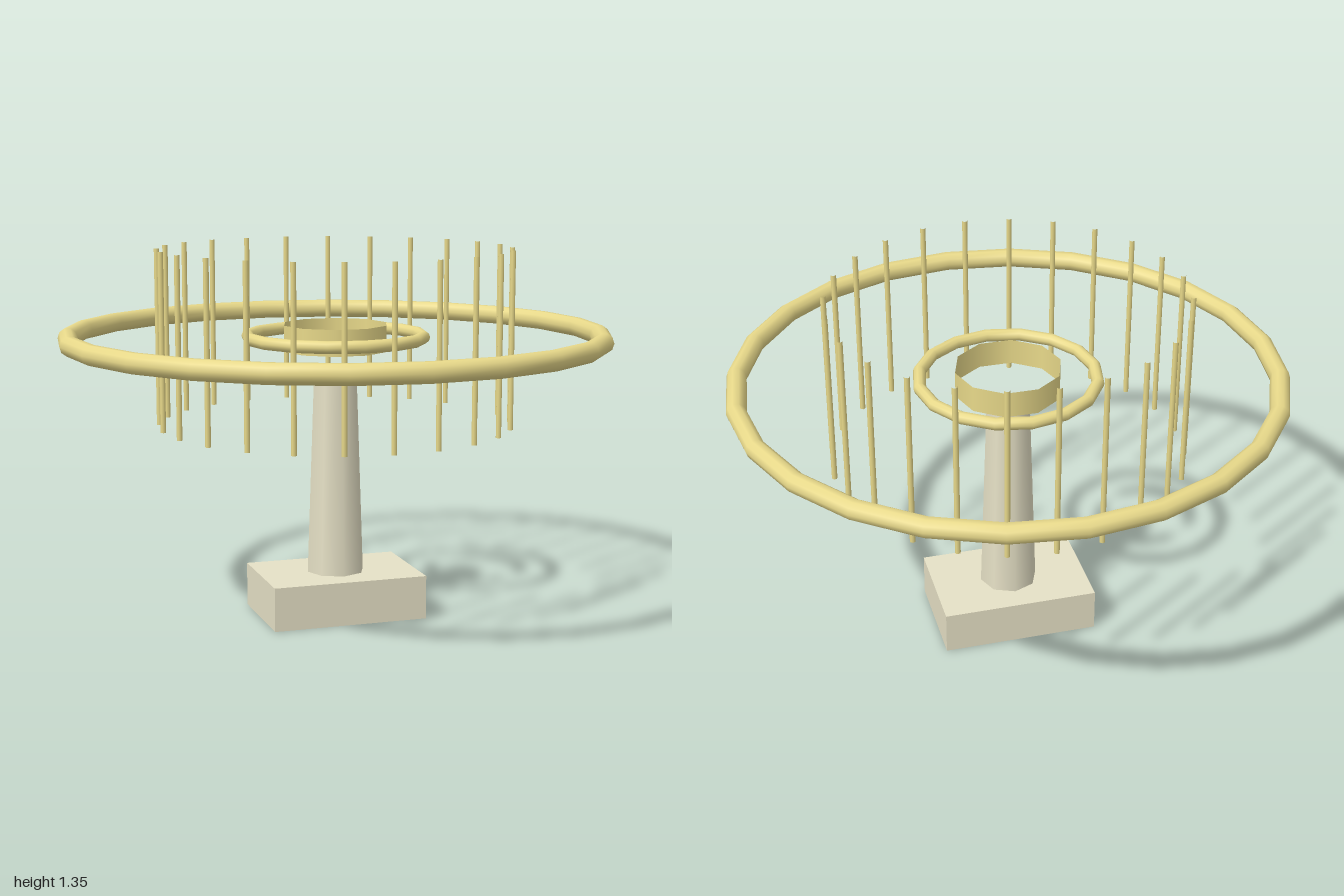
import * as THREE from 'three';

const cream = new THREE.MeshStandardMaterial({ color: 0xe6e1c6 });
const gold = new THREE.MeshStandardMaterial({ color: 0xe8d98a });
const goldThin = new THREE.MeshStandardMaterial({ color: 0xe8d98a, side: THREE.DoubleSide });

function add(parent, name, geometry, material, x = 0, y = 0, z = 0) {
  const mesh = new THREE.Mesh(geometry, material);
  mesh.name = name;
  mesh.position.set(x, y, z);
  parent.add(mesh);
  return mesh;
}

// Open tube whose first corner lies on the x axis
const openTube = (top, bottom, height, sides) =>
  new THREE.CylinderGeometry(top, bottom, height, sides, 1, true, Math.PI / 2);

// Horizontal ring
const ring = (radius, tube, sides) =>
  new THREE.TorusGeometry(radius, tube, 10, sides).rotateX(Math.PI / 2);

export function createModel() {
  const model = new THREE.Group();
  const w = 0.575, d = 0.385, h = 0.16, columnFoot = 0.107;
  const ringY = 1.03;

  // Plinth: four sides and underside, with a top that opens into the column
  const plinth = new THREE.Group();
  plinth.name = 'plinth';
  model.add(plinth);
  const block = new THREE.BoxGeometry(w, h, d);
  const index = Array.from(block.index.array);
  index.splice(12, 6); // leave out the top face
  block.setIndex(index);
  block.clearGroups();
  add(plinth, 'plinthBlock', block, cream, 0, h / 2);

  const top = new THREE.Shape([[-1, -1], [1, -1], [1, 1], [-1, 1]]
    .map(([x, y]) => new THREE.Vector2(x * w / 2, y * d / 2)));
  const hole = [];
  for (let i = 0; i < 8; i++) {
    const a = -i * Math.PI / 4;
    hole.push(new THREE.Vector2(Math.cos(a) * columnFoot, Math.sin(a) * columnFoot));
  }
  top.holes.push(new THREE.Path(hole));
  add(plinth, 'plinthTop', new THREE.ShapeGeometry(top).rotateX(-Math.PI / 2), cream, 0, h);

  // Tapered hollow column
  add(model, 'column', openTube(0.08, columnFoot, 0.77, 8), cream, 0, h + 0.385);

  // Hub band and the two rings around it
  add(model, 'hub', openTube(0.193, 0.193, 0.095, 10), goldThin, 0, ringY - 0.002);
  add(model, 'innerRing', ring(0.32, 0.023, 16), gold, 0, ringY);
  add(model, 'outerRing', ring(0.964, 0.036, 24), gold, 0, ringY);

  // Circle of upright rods
  const rods = new THREE.Group();
  rods.name = 'rods';
  model.add(rods);
  const rod = openTube(0.01, 0.01, 0.64, 8);
  for (let i = 0; i < 24; i++) {
    const a = i * Math.PI / 12;
    add(rods, 'rod', rod, gold, Math.cos(a) * 0.64, ringY, Math.sin(a) * 0.64);
  }

  return model;
}
